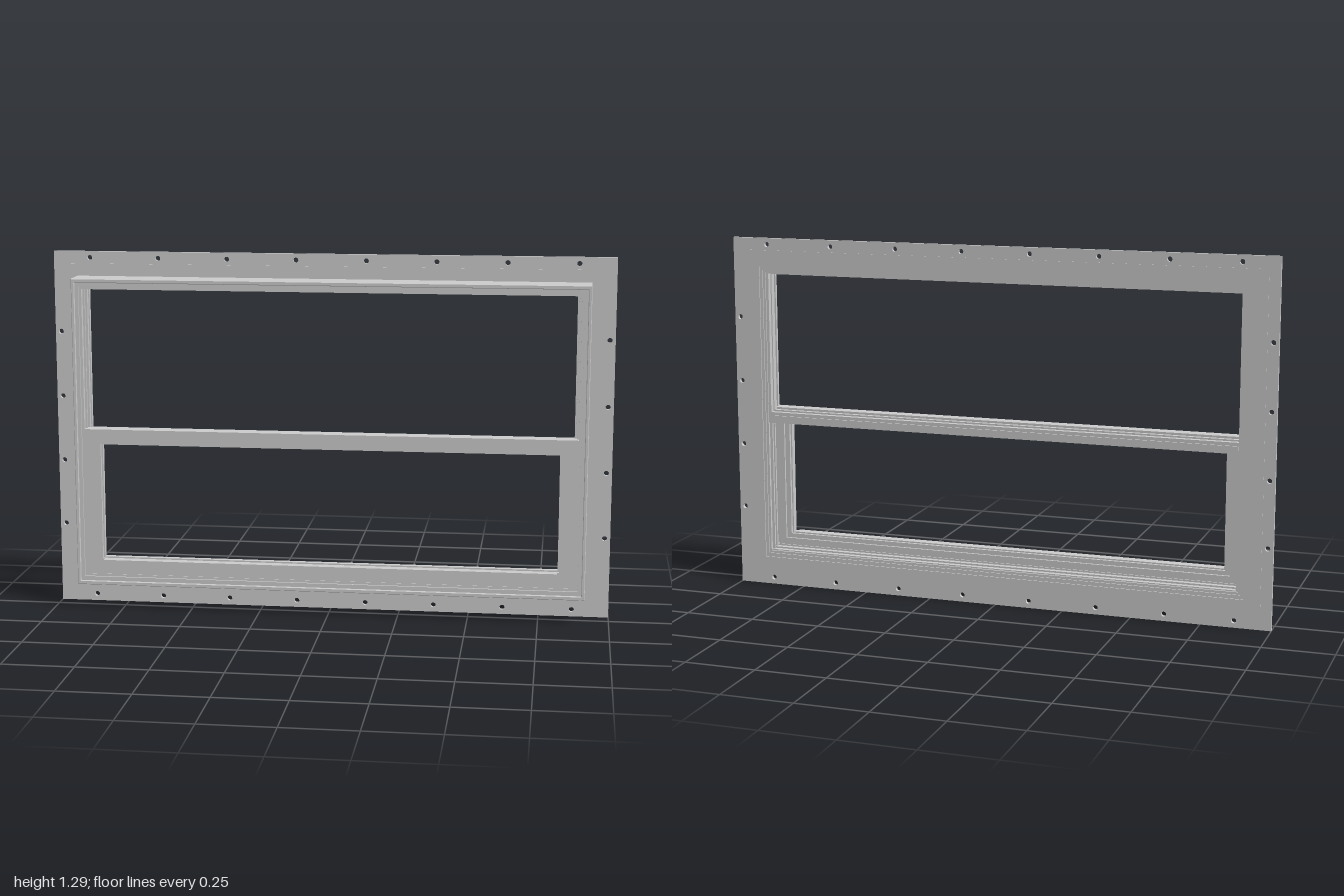
import * as THREE from 'three';

const material = new THREE.MeshStandardMaterial({ color: 0xcccccc });

// Counter-clockwise rectangle given by half width, bottom and top
function rectangle(Type, half, bottom, top) {
  const r = new Type();
  r.moveTo(-half, bottom);
  r.lineTo(half, bottom);
  r.lineTo(half, top);
  r.lineTo(-half, top);
  r.closePath();
  return r;
}

// Rectangular ring: outer and inner are [half width, bottom, top]
function ring(name, outer, inner, back, front, holes = [], bevel = 0) {
  const shape = rectangle(THREE.Shape, ...outer.map((v, i) => v + bevel * [-1, 1, -1][i]));
  shape.holes.push(rectangle(THREE.Path, ...inner));
  for (const [x, y] of holes) {
    const hole = new THREE.Path();
    hole.absarc(x, y, 0.009, 0, Math.PI * 2, true);
    shape.holes.push(hole);
  }
  const geometry = new THREE.ExtrudeGeometry(shape, {
    depth: front - back - 2 * bevel, curveSegments: 12, bevelEnabled: bevel > 0,
    bevelThickness: bevel, bevelSize: bevel, bevelSegments: 1,
  });
  geometry.translate(0, 0, back + bevel);
  const mesh = new THREE.Mesh(geometry, material);
  mesh.name = name;
  return mesh;
}

function bar(name, x0, x1, y0, y1, z0, z1) {
  const mesh = new THREE.Mesh(new THREE.BoxGeometry(x1 - x0, y1 - y0, z1 - z0), material);
  mesh.position.set((x0 + x1) / 2, (y0 + y1) / 2, (z0 + z1) / 2);
  mesh.name = name;
  return mesh;
}

export function createModel() {
  const model = new THREE.Group();
  model.name = 'window';

  // Nailing flange with a row of screw holes on every side
  const screws = [];
  for (const s of [-1, 1]) {
    for (const x of [0.125, 0.373, 0.621, 0.869]) screws.push([s * x, 0.025], [s * x, 1.267]);
    for (const y of [0.29, 0.527, 0.764, 1.0]) screws.push([s * 0.98, y]);
  }
  const opening = [0.9, 0.103, 1.187];
  model.add(ring('nailingFlange', [1, 0, 1.29], opening, -0.0625, -0.05, screws));
  model.add(ring('flangePad', [0.96, 0.042, 1.246], opening, -0.064, -0.0485));

  // Frame: an outer shell and two thinner steps inside it
  const frame = new THREE.Group();
  frame.name = 'frame';
  frame.add(ring('outerShell', [0.914, 0.088, 1.202], [0.904, 0.1, 1.19], -0.055, 0.055, [], 0.002));
  frame.add(ring('middleStep', [0.906, 0.098, 1.192], [0.889, 0.117, 1.174], -0.06, 0.047));
  frame.add(ring('innerStep', [0.891, 0.115, 1.176], [0.88, 0.126, 1.165], -0.056, 0.04));
  model.add(frame);

  // Upper sash, set towards the back
  const upper = new THREE.Group();
  upper.name = 'upperSash';
  upper.add(ring('upperSashFrame', [0.881, 0.61, 1.166], [0.87, 0.65, 1.161], -0.052, -0.004));
  upper.add(ring('upperGlazingBead', [0.872, 0.645, 1.163], [0.866, 0.656, 1.157], -0.034, -0.02));
  upper.add(bar('upperRailRib', -0.87, 0.87, 0.622, 0.638, -0.057, -0.05));
  model.add(upper);

  // Lower sash, set towards the front, with a narrow lip on its bottom rail
  const lower = new THREE.Group();
  lower.name = 'lowerSash';
  lower.add(ring('lowerSashFrame', [0.881, 0.136, 0.66], [0.822, 0.183, 0.607], -0.002, 0.042));
  lower.add(ring('lowerGlazingBead', [0.824, 0.181, 0.609], [0.817, 0.188, 0.603], 0.008, 0.028));
  lower.add(ring('lowerSashRebate', [0.868, 0.14, 0.65], [0.84, 0.167, 0.622], -0.01, 0));
  lower.add(bar('sashLip', -0.815, 0.815, 0.177, 0.183, 0.038, 0.06));
  model.add(lower);

  // Side tracks behind the lower sash and in front of the upper one
  for (const s of [-1, 1]) {
    const side = s < 0 ? 'right' : 'left';
    for (const z of [-0.046, -0.026]) {
      const x = s * 0.876;
      model.add(bar(side + 'LowerTrack', x - 0.006, x + 0.006, 0.12, 0.615, z, z + 0.008));
    }
    const x = s * 0.878;
    model.add(bar(side + 'UpperTrack', x - 0.005, x + 0.005, 0.655, 1.166, 0.014, 0.022));
  }

  // Sill steps that rise from the back up to the lower sash
  for (let i = 0; i < 3; i++) {
    model.add(bar('sillStep', -0.882, 0.882, 0.115, 0.13 + i * 0.006, -0.05 + i * 0.018, 0.038));
  }
  return model;
}
